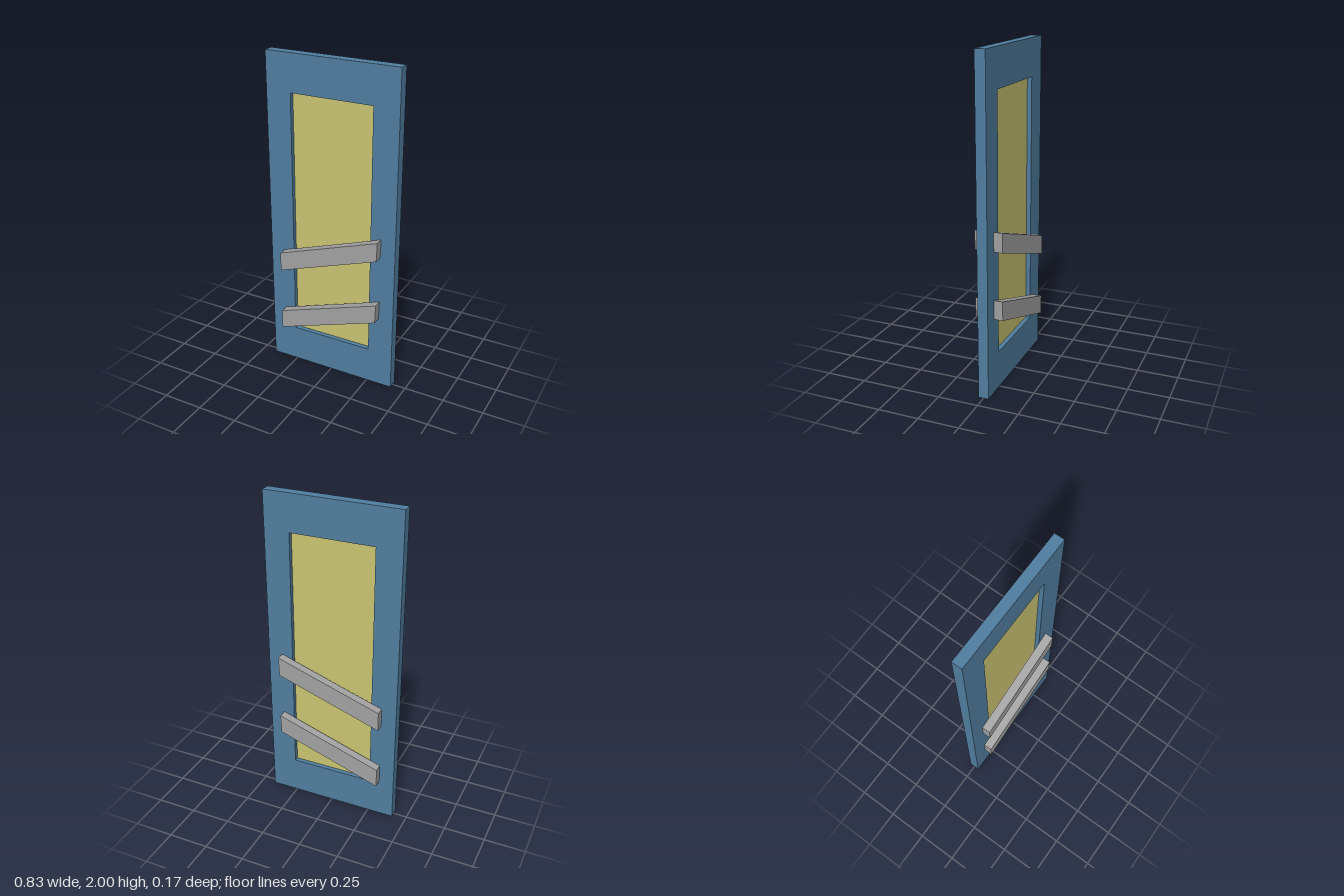
import * as THREE from 'three';

const W = 0.414, H = 2, T = 0.031;            // door half width, height, half thickness
const WIN = { x: 0.257, y0: 0.23, y1: 1.773 }; // window opening
const BAR_DEPTH = 0.053;

function polygon(points, Type = THREE.Shape) {
  return new Type(points.map(([x, y]) => new THREE.Vector2(x, y)));
}

function slab(shape, z, depth, material, name) {
  const geometry = new THREE.ExtrudeGeometry(shape, { depth, bevelEnabled: false });
  geometry.translate(0, 0, z);
  const mesh = new THREE.Mesh(geometry, material);
  mesh.name = name;
  return mesh;
}

function flat(name, color) {
  const material = new THREE.MeshStandardMaterial({ color });
  material.name = name;
  return material;
}

export function createModel() {
  const blue = flat('blue paint', 0x517fa1);
  const yellow = flat('yellow glass', 0xcbc572);
  const grey = flat('grey metal', 0xa4a4a4);

  const door = new THREE.Group();
  door.name = 'door';

  // Frame with the window cut out
  const outline = polygon([[-W, 0], [W, 0], [W, H], [-W, H]]);
  outline.holes.push(polygon(
    [[-WIN.x, WIN.y0], [-WIN.x, WIN.y1], [WIN.x, WIN.y1], [WIN.x, WIN.y0]], THREE.Path));
  door.add(slab(outline, -T, 2 * T, blue, 'doorFrame'));

  // Thin pane in the middle of the frame
  const pane = new THREE.Mesh(
    new THREE.BoxGeometry(2 * WIN.x, WIN.y1 - WIN.y0, 0.006), yellow);
  pane.position.y = (WIN.y0 + WIN.y1) / 2;
  pane.name = 'windowPane';
  door.add(pane);

  // Two slanted push bars on each face, with upright ends
  for (const [level, y] of [['lower', 0.245], ['upper', 0.655]]) {
    const bar = polygon([[-0.322, y], [0.321, y + 0.221], [0.325, y + 0.34], [-0.322, y + 0.12]]);
    door.add(slab(bar, T, BAR_DEPTH, grey, level + 'FrontBar'));
    door.add(slab(bar, -T - BAR_DEPTH, BAR_DEPTH, grey, level + 'BackBar'));
  }
  return door;
}
